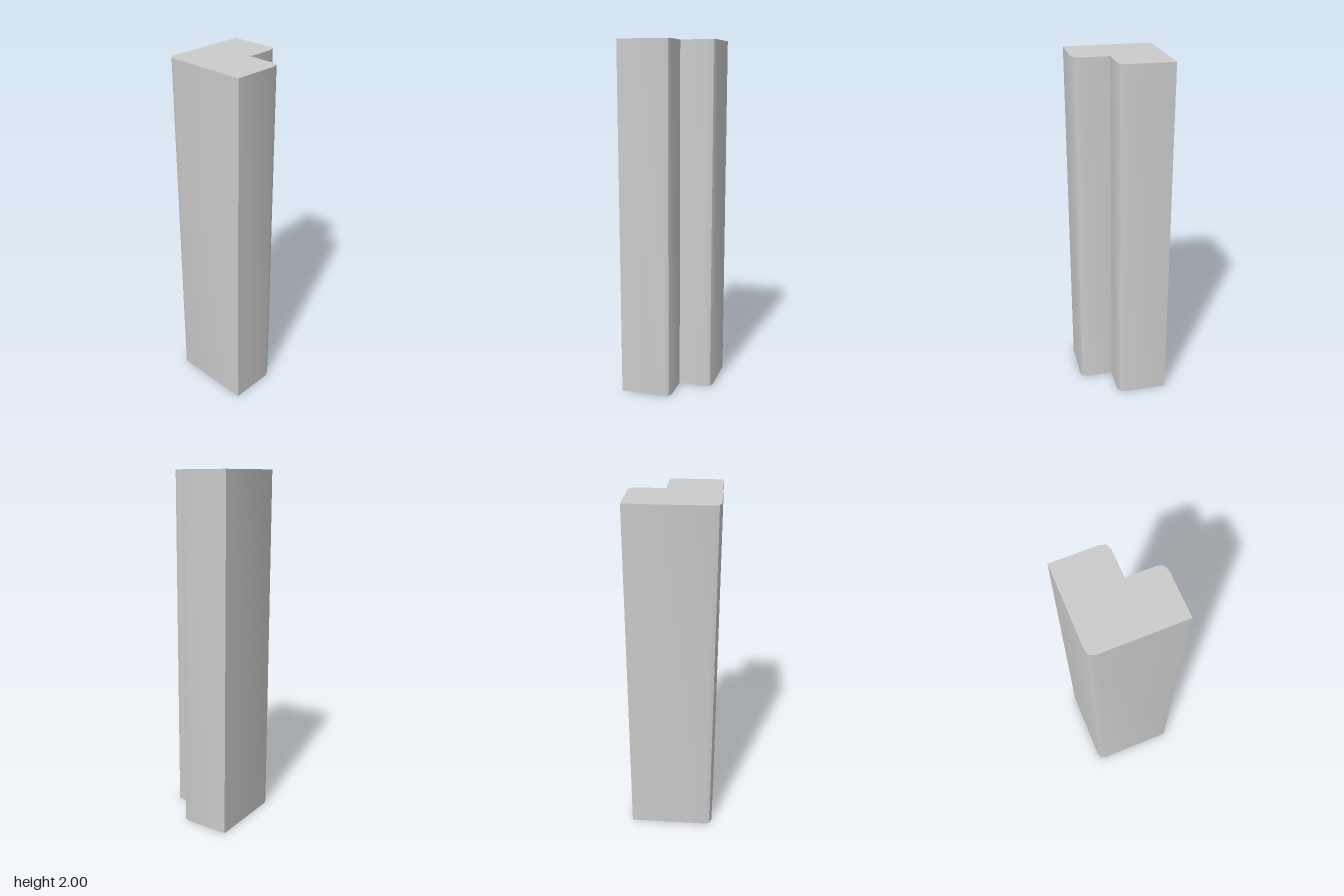
import * as THREE from 'three';
import { toCreasedNormals } from 'three/addons/utils/BufferGeometryUtils.js';

const HALF = 0.244;   // half width of the plan
const NOTCH = 0.048;  // inner corner of the L
const R = 0.04;       // eased corner size
const MID = 0.0115;   // inset of the middle point of an eased corner

// Three points easing the corner (x, z); dx, dz point into the solid.
// alongX: the outline arrives at the corner travelling along x.
function easedCorner(x, z, dx, dz, alongX) {
  const onX = [x + dx * R, z];
  const onZ = [x, z + dz * R];
  const mid = [x + dx * MID, z + dz * MID];
  return alongX ? [onX, mid, onZ] : [onZ, mid, onX];
}

export function createModel() {
  const group = new THREE.Group();
  group.name = 'cornerPost';

  // L-shaped plan with three eased corners, counter-clockwise from front left
  const plan = [
    [-HALF, HALF],
    ...easedCorner(NOTCH, HALF, -1, -1, true),
    [NOTCH, NOTCH],
    ...easedCorner(HALF, NOTCH, -1, -1, true),
    [HALF, -HALF],
    ...easedCorner(-HALF, -HALF, 1, 1, true),
  ];
  const shape = new THREE.Shape(plan.map(([x, z]) => new THREE.Vector2(x, -z)));

  // Extrude the plan to full height
  let geometry = new THREE.ExtrudeGeometry(shape, { depth: 2, bevelEnabled: false });
  geometry.rotateX(-Math.PI / 2);
  geometry = toCreasedNormals(geometry, 0.6);

  const post = new THREE.Mesh(geometry, new THREE.MeshStandardMaterial({ color: 0xcccccc }));
  post.name = 'post';
  group.add(post);
  return group;
}
